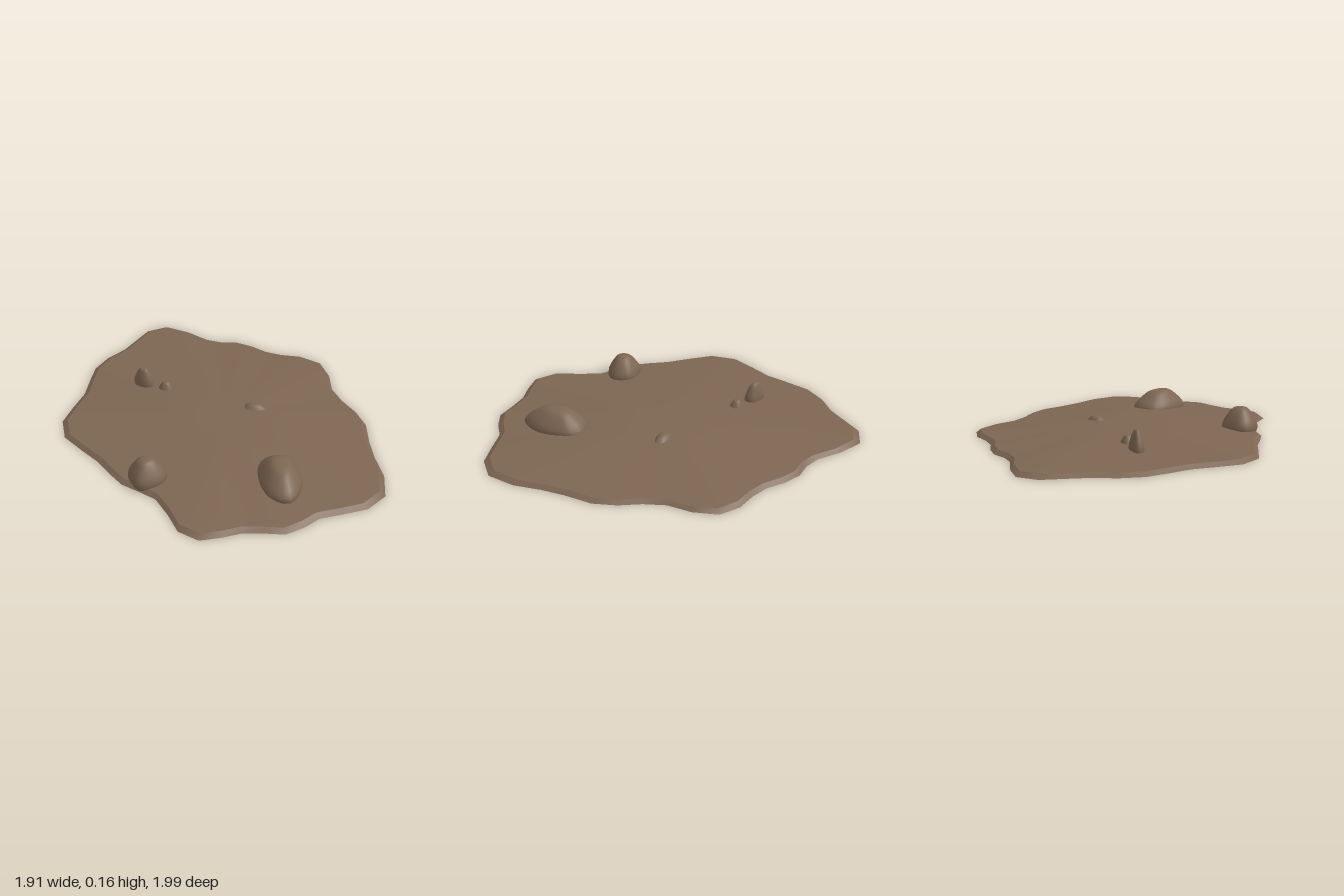
import * as THREE from 'three';

const material = new THREE.MeshStandardMaterial({ color: 0x7d6652, side: THREE.DoubleSide });

// Joins equal-length loops of [x, y, z] from the bottom up; an optional tip closes the top.
function loft(name, rings, tip) {
  const n = rings[0].length;
  const points = rings.flat();
  const index = [];
  for (let i = 0; i < rings.length - 1; i++) {
    for (let j = 0; j < n; j++) {
      const k = (j + 1) % n;
      const a = i * n + j, b = i * n + k, c = a + n, d = b + n;
      index.push(a, c, b, b, c, d);
    }
  }
  if (tip) {
    const base = (rings.length - 1) * n;
    for (let j = 0; j < n; j++) index.push(base + j, points.length, base + (j + 1) % n);
    points.push(tip);
  }
  const geometry = new THREE.BufferGeometry();
  geometry.setAttribute('position', new THREE.Float32BufferAttribute(points.flat(), 3));
  geometry.setIndex(index);
  geometry.computeVertexNormals();
  const mesh = new THREE.Mesh(geometry, material);
  mesh.name = name;
  return mesh;
}

// Irregular ground outline, x and z
const OUTLINE = [
  [-0.57, -1.0], [-0.42, -0.96], [-0.28, -0.89], [-0.18, -0.875], [-0.08, -0.89], [0.03, -0.86],
  [0.13, -0.81], [0.24, -0.79], [0.36, -0.79], [0.48, -0.74], [0.55, -0.61], [0.58, -0.47],
  [0.65, -0.36], [0.74, -0.26], [0.81, -0.14], [0.84, 0.02], [0.88, 0.16], [0.94, 0.31],
  [0.955, 0.48], [0.87, 0.6], [0.75, 0.66], [0.62, 0.72], [0.55, 0.8], [0.46, 0.87],
  [0.35, 0.88], [0.23, 0.9], [0.13, 0.95], [0.02, 0.99], [-0.1, 0.94], [-0.18, 0.82],
  [-0.27, 0.71], [-0.36, 0.67], [-0.48, 0.62], [-0.57, 0.54], [-0.66, 0.45], [-0.77, 0.37],
  [-0.905, 0.265], [-0.96, 0.12], [-0.935, -0.03], [-0.905, -0.17], [-0.91, -0.31], [-0.91, -0.45],
  [-0.86, -0.58], [-0.78, -0.69], [-0.73, -0.81], [-0.68, -0.93],
];

const RIM = 0.967; // scale of the upper rim
const RIM_Y = 0.021, TOP_Y = 0.068;

const groundRing = (s, y) => OUTLINE.map(([x, z]) => [x * s, y, z * s]);

// Rocks: widest outline (x, z), bottom, top
const ROCKS = [
  ['largeRock', 0.015, 0.155, [[0.27, 0.34], [0.35, 0.3], [0.42, 0.31], [0.48, 0.42], [0.505, 0.53],
    [0.47, 0.66], [0.42, 0.675], [0.33, 0.63], [0.26, 0.5], [0.245, 0.4]]],
  ['edgeRock', 0.005, 0.155, [[-0.445, 0.51], [-0.39, 0.48], [-0.29, 0.475], [-0.235, 0.56],
    [-0.275, 0.635], [-0.365, 0.675], [-0.42, 0.635], [-0.455, 0.57]]],
  ['tallRock', 0.025, 0.155, [[-0.62, -0.31], [-0.57, -0.32], [-0.5, -0.295], [-0.495, -0.25],
    [-0.53, -0.235], [-0.6, -0.26]]],
  ['smallRock', 0.02, 0.095, [[-0.44, -0.285], [-0.38, -0.28], [-0.365, -0.235], [-0.39, -0.21],
    [-0.44, -0.215], [-0.46, -0.25]]],
  ['flatRock', 0.02, 0.09, [[0.065, -0.14], [0.13, -0.17], [0.21, -0.16], [0.235, -0.11],
    [0.17, -0.07], [0.09, -0.075]]],
];

// Rock profile: height fraction, outline scale
const PROFILE = [[0, 0.9], [0.2, 1], [0.38, 0.95], [0.55, 0.83], [0.72, 0.67], [0.87, 0.52], [0.96, 0.38], [1, 0.22]];

function rock([name, bottom, top, outline]) {
  const curve = new THREE.CatmullRomCurve3(outline.map(([x, z]) => new THREE.Vector3(x, 0, z)), true);
  const loop = curve.getSpacedPoints(24).slice(0, 24);
  const c = loop.reduce((sum, p) => sum.add(p), new THREE.Vector3()).divideScalar(loop.length);
  const rings = PROFILE.map(([h, s]) => loop.map((p) => [
    c.x + (p.x - c.x) * s, bottom + (top - bottom) * h, c.z + (p.z - c.z) * s,
  ]));
  return loft(name, rings, [c.x, top + 0.001, c.z]);
}

export function createModel() {
  const model = new THREE.Group();
  model.name = 'rockyGround';

  // Sloping outer edge, open underneath
  model.add(loft('groundEdge', [groundRing(1, 0), groundRing(RIM, RIM_Y)]));

  // Gently domed surface with a level middle
  const rings = [];
  for (let i = 0; i < 12; i++) {
    const t = 1 - i / 12;
    const rise = Math.min(1, (1 - t) * 1.4);
    rings.push(groundRing(RIM * t, RIM_Y + (TOP_Y - RIM_Y) * rise));
  }
  model.add(loft('groundSurface', rings, [0, TOP_Y, 0]));

  // Half-buried rocks
  const rocks = new THREE.Group();
  rocks.name = 'rocks';
  ROCKS.forEach((r) => rocks.add(rock(r)));
  model.add(rocks);

  return model;
}
